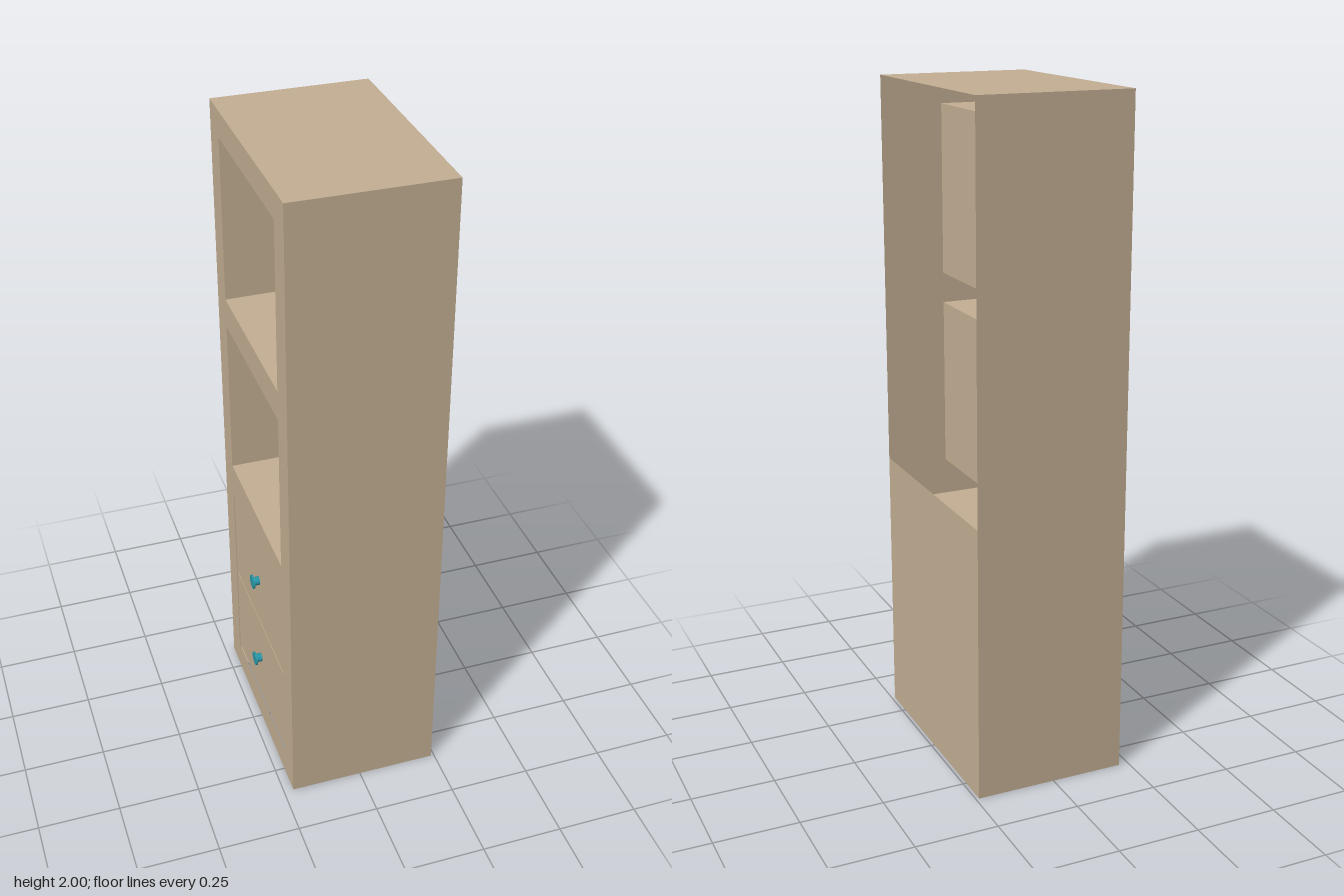
import * as THREE from 'three';

const wood = new THREE.MeshStandardMaterial({ color: 0xc4af94, side: THREE.DoubleSide });
wood.name = 'wood';
const teal = new THREE.MeshStandardMaterial({ color: 0x2a97a8 });
teal.name = 'teal';

const FRONT = -0.22, BACK = 0.24, HALF = 0.344, INNER = 0.26;

function mesh(name, geometry, material, parent) {
  const m = new THREE.Mesh(geometry, material);
  m.name = name;
  parent.add(m);
  return m;
}

// Box between two corners that keeps only the listed faces (+x, -x, +y, -y, +z, -z = 0..5)
function box(min, max, faces = [0, 1, 2, 3, 4, 5]) {
  const size = max.map((v, i) => v - min[i]);
  const g = new THREE.BoxGeometry(...size);
  const index = Array.from(g.index.array);
  g.setIndex(faces.flatMap((f) => index.slice(f * 6, f * 6 + 6)));
  g.clearGroups();
  g.translate(...max.map((v, i) => (v + min[i]) / 2));
  return g;
}

// Rectangle outline in (z, y)
function rect(path, z0, y0, z1, y1) {
  path.moveTo(z0, y0);
  path.lineTo(z1, y0);
  path.lineTo(z1, y1);
  path.lineTo(z0, y1);
  path.closePath();
  return path;
}

export function createModel() {
  const cabinet = new THREE.Group();
  cabinet.name = 'cabinet';

  const niches = [[0.83, 1.33], [1.42, 1.92]];
  const drawers = [[0.093, 0.404], [0.409, 0.72]];

  // Thin outer shell: top and two sides
  mesh('shell', box([FRONT, 0, -HALF], [BACK, 2, HALF], [2, 4, 5]), wood, cabinet);

  // Half-height panel behind the drawers
  mesh('lowerBackPanel', box([FRONT, 0, -HALF], [BACK, 0.83, HALF], [0]), wood, cabinet);

  // Bottom strips along both sides
  for (const s of [-1, 1]) {
    const z = [s * INNER, s * HALF].sort((a, b) => a - b);
    mesh('bottomStrip', box([FRONT, 0, z[0]], [BACK, 0.01, z[1]], [3]), wood, cabinet);
  }

  // Face frame with openings for niches and drawers
  const frame = rect(new THREE.Shape(), -HALF, 0, HALF, 2);
  for (const [y0, y1] of [...niches, [0.093, 0.72]]) {
    frame.holes.push(rect(new THREE.Path(), -INNER, y0, INNER, y1));
  }
  const frameGeometry = new THREE.ShapeGeometry(frame);
  frameGeometry.rotateY(-Math.PI / 2);
  frameGeometry.translate(FRONT, 0, 0);
  mesh('faceFrame', frameGeometry, wood, cabinet);

  // Open niches
  for (const [y0, y1] of niches) {
    mesh('niche', box([FRONT, y0, -INNER], [0.085, y1, INNER], [0, 2, 3, 4, 5]), wood, cabinet);
  }

  // Drawers, set in slightly, each with a round knob
  for (const [y0, y1] of drawers) {
    const drawer = new THREE.Group();
    drawer.name = 'drawer';
    cabinet.add(drawer);
    mesh('drawerBox', box([FRONT + 0.003, y0, -INNER], [0.14, y1, INNER]), wood, drawer);

    const knob = new THREE.Group();
    knob.name = 'knob';
    knob.position.set(FRONT + 0.003, (y0 + y1) / 2 + 0.01, 0.003);
    knob.rotation.z = Math.PI / 2;
    drawer.add(knob);
    mesh('knobStem', new THREE.CylinderGeometry(0.0135, 0.0135, 0.02, 24), teal, knob).position.y = 0.01;
    mesh('knobCap', new THREE.CylinderGeometry(0.022, 0.022, 0.005, 24), teal, knob).position.y = 0.0205;
  }

  return cabinet;
}
